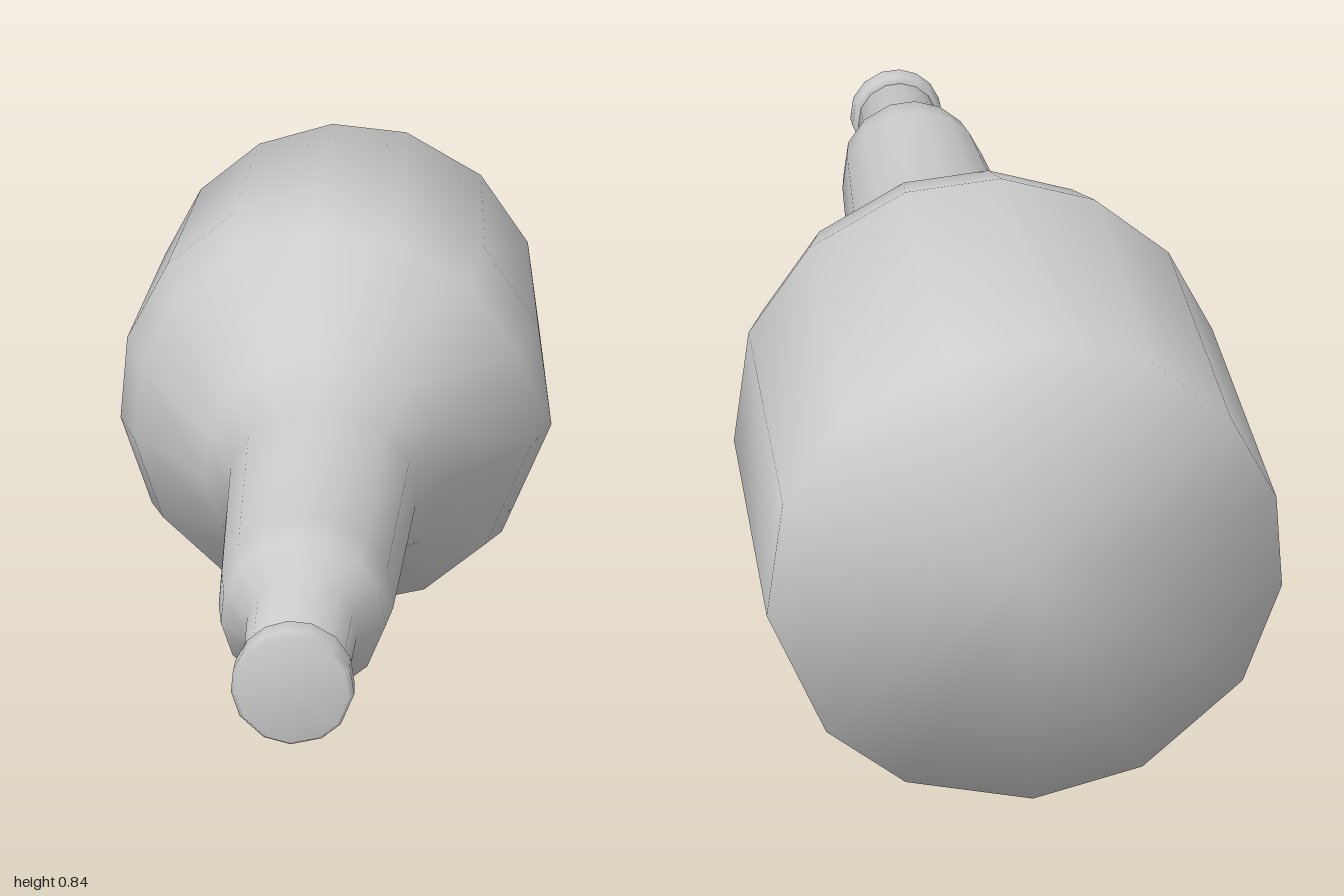
import * as THREE from 'three';

// Slightly uneven facet angles, in degrees, counter-clockwise around the z axis
const ANGLES = [-92, -62, -39, -5.5, 22.5, 47.5, 73, 95, 117.5, 140, 163, 185.5, 211, 242]
  .map(THREE.MathUtils.degToRad);
const AXIS_Y = 0.42;

// Smooth faceted solid along z from [z, radius] pairs; zero radii close the ends
function turned(name, profile, material) {
  const n = ANGLES.length, pos = [], index = [];
  const rings = profile.slice(1, -1);
  for (const [z, r] of rings)
    for (const a of ANGLES) pos.push(r * Math.cos(a), AXIS_Y + r * Math.sin(a), z);
  const back = pos.length / 3, front = back + 1, last = (rings.length - 1) * n;
  pos.push(0, AXIS_Y, profile[0][0], 0, AXIS_Y, profile[profile.length - 1][0]);
  for (let i = 0; i < n; i++) {
    const k = (i + 1) % n;
    for (let j = 0; j < last; j += n)
      index.push(j + i, j + k, j + n + k, j + i, j + n + k, j + n + i);
    index.push(back, k, i, front, last + i, last + k);
  }
  const geometry = new THREE.BufferGeometry();
  geometry.setAttribute('position', new THREE.Float32BufferAttribute(pos, 3));
  geometry.setIndex(index);
  geometry.computeVertexNormals();
  const mesh = new THREE.Mesh(geometry, material);
  mesh.name = name;
  return mesh;
}

export function createModel() {
  const group = new THREE.Group();
  group.name = 'bottle';
  const grey = new THREE.MeshStandardMaterial({ color: 0xcccccc });

  // Flat base, barrel, sloping shoulder, long neck and narrow throat
  group.add(turned('bottleBody', [
    [-1, 0], [-1, 0.407], [-0.4, 0.423], [-0.265, 0.382], [-0.01, 0.222], [0.13, 0.17],
    [0.62, 0.145], [0.7, 0.135], [0.765, 0.09], [0.95, 0.083], [0.95, 0],
  ], grey));

  // Rounded lip closing the mouth
  group.add(turned('lip', [
    [0.935, 0], [0.935, 0.084], [0.945, 0.095], [0.985, 0.096], [1, 0.088], [1, 0],
  ], grey));
  return group;
}
